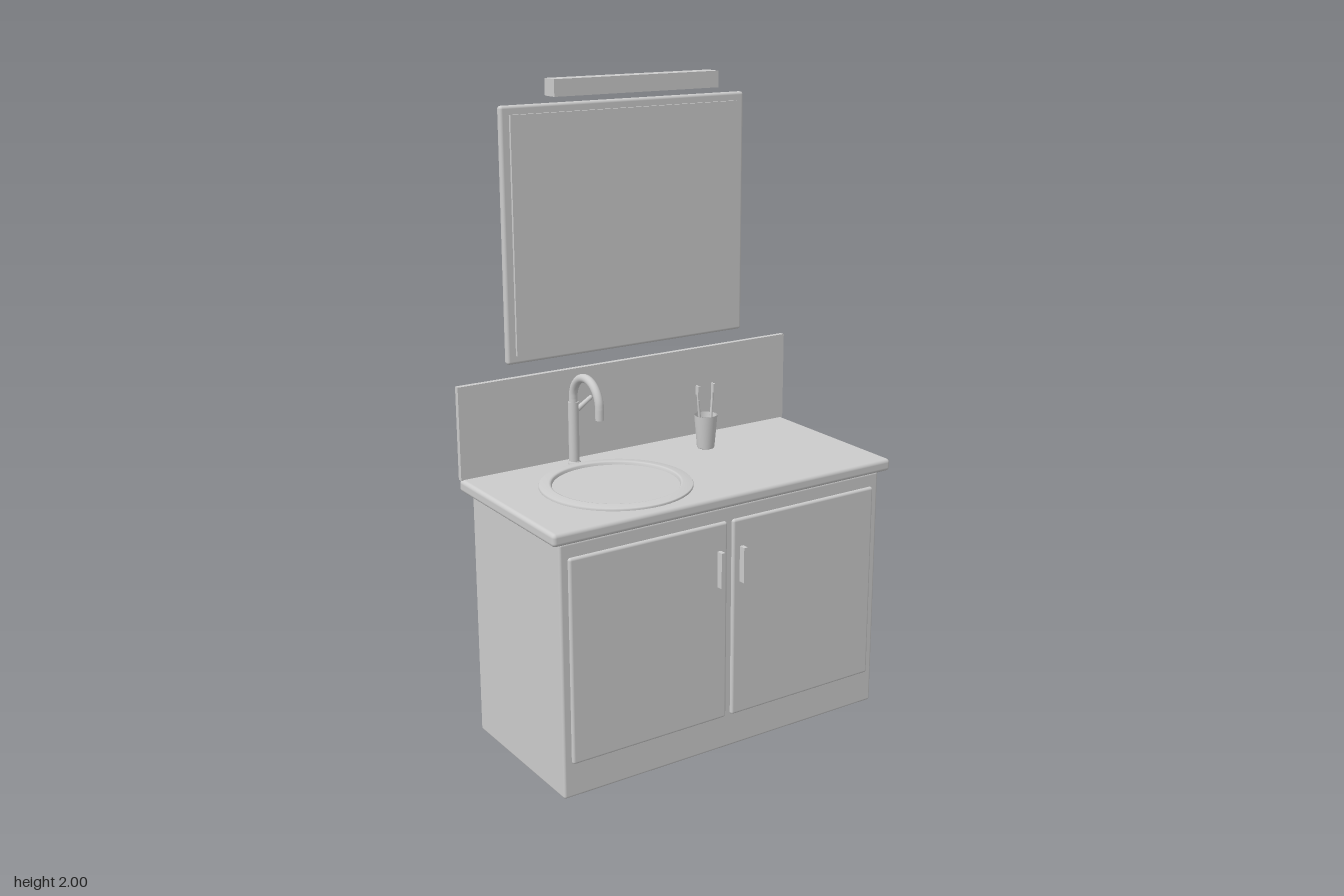
import * as THREE from 'three';
import { RoundedBoxGeometry } from 'three/addons/geometries/RoundedBoxGeometry.js';

const grey = new THREE.MeshStandardMaterial({ color: 0xcccccc });
const greyDouble = new THREE.MeshStandardMaterial({ color: 0xcccccc, side: THREE.DoubleSide });
const V = (x, y, z) => new THREE.Vector3(x, y, z);

function add(parent, name, geometry, material = grey) {
  const mesh = new THREE.Mesh(geometry, material);
  mesh.name = name;
  parent.add(mesh);
  return mesh;
}

// Box given by its extents on each axis; a radius rounds its edges
function box(parent, name, [x0, x1], [y0, y1], [z0, z1], radius = 0) {
  const size = [x1 - x0, y1 - y0, z1 - z0];
  const geometry = radius
    ? new RoundedBoxGeometry(...size, 3, radius)
    : new THREE.BoxGeometry(...size);
  geometry.translate((x0 + x1) / 2, (y0 + y1) / 2, (z0 + z1) / 2);
  return add(parent, name, geometry);
}

// Round bar between two points
function rod(parent, name, a, b, r0, r1 = r0) {
  const dir = b.clone().sub(a);
  const mesh = add(parent, name, new THREE.CylinderGeometry(r1, r0, dir.length(), 20));
  mesh.position.copy(a).add(b).multiplyScalar(0.5);
  mesh.quaternion.setFromUnitVectors(V(0, 1, 0), dir.normalize());
  return mesh;
}

function lathe(parent, name, points, segments = 48) {
  const profile = points.map(([r, y]) => new THREE.Vector2(r, y));
  return add(parent, name, new THREE.LatheGeometry(profile, segments), greyDouble);
}

function createCabinet() {
  const g = new THREE.Group();
  g.name = 'cabinet';
  box(g, 'cabinetBody', [-0.573, 0.573], [0.005, 0.79], [-0.258, 0.266], 0.008);
  // Mirrored pair of doors with upright handles
  for (const [side, s] of [['left', 1], ['right', -1]]) {
    const span = (a, b) => [Math.min(s * a, s * b), Math.max(s * a, s * b)];
    box(g, side + 'Door', span(0.01, 0.547), [0.113, 0.746], [0.245, 0.276], 0.008);
    box(g, side + 'Handle', span(0.034, 0.047), [0.548, 0.66], [0.27, 0.298]);
  }
  box(g, 'countertop', [-0.603, 0.603], [0.793, 0.832], [-0.284, 0.289], 0.012);
  box(g, 'backsplash', [-0.603, 0.603], [0.83, 1.12], [-0.284, -0.267]);
  return g;
}

function createSink() {
  const g = new THREE.Group();
  g.name = 'sink';
  lathe(g, 'sinkRim', [[0.23, 0.83], [0.23, 0.836], [0.228, 0.839], [0.2, 0.843],
    [0.195, 0.842], [0.192, 0.839], [0.19, 0.83]], 64);
  g.position.set(-0.239, 0, 0.024);
  return g;
}

function createFaucet() {
  const g = new THREE.Group();
  g.name = 'faucet';
  const z = -0.221, r = 0.078, top = 1.042;
  lathe(g, 'faucetBase', [[0.02, 0.83], [0.02, 0.838], [0.016, 0.842]], 24).position.z = z;
  rod(g, 'faucetColumn', V(0, 0.83, z), V(0, 1.03, z), 0.0165);
  // Gooseneck: straight rise, half circle, short drop to the outlet
  const path = new THREE.CurvePath();
  const arc = [];
  for (let i = 0; i <= 12; i++) {
    const t = Math.PI * (1 - i / 12);
    arc.push(V(0, top + r * Math.sin(t), z + r + r * Math.cos(t)));
  }
  path.add(new THREE.LineCurve3(V(0, 1.0, z), arc[0]));
  path.add(new THREE.CatmullRomCurve3(arc));
  path.add(new THREE.LineCurve3(arc[12], V(0, 1.01, z + 2 * r)));
  add(g, 'spout', new THREE.TubeGeometry(path, 64, 0.0135, 16));
  const outlet = add(g, 'outlet', new THREE.CircleGeometry(0.0135, 16), greyDouble);
  outlet.rotation.x = Math.PI / 2;
  outlet.position.set(0, 1.011, z + 2 * r);
  // Side lever
  rod(g, 'lever', V(0, 0.995, z), V(0.064, 1.033, z - 0.004), 0.009, 0.007);
  const tip = add(g, 'leverTip', new THREE.SphereGeometry(0.007, 12, 8));
  tip.position.set(0.064, 1.033, z - 0.004);
  g.position.x = -0.239;
  return g;
}

function createCup() {
  const g = new THREE.Group();
  g.name = 'toothbrushCup';
  // Open tumbler with thin walls
  lathe(g, 'cup', [[0, 0.832], [0.026, 0.832], [0.028, 0.835], [0.037, 0.94],
    [0.034, 0.94], [0.026, 0.842], [0, 0.84]], 32);
  for (const [name, s] of [['leftToothbrush', 1], ['rightToothbrush', -1]]) {
    const brush = new THREE.Group();
    brush.name = name;
    rod(brush, 'brushHandle', V(s * 0.01, 0.845, 0.006 * s), V(s * 0.027, 0.99, -0.004), 0.005, 0.004);
    rod(brush, 'brushNeck', V(s * 0.027, 0.985, -0.004), V(s * 0.029, 1.04, -0.006), 0.0035);
    box(brush, 'bristles', [s * 0.029 - 0.0045, s * 0.029 + 0.0045], [1.01, 1.038], [-0.008, 0.006]);
    g.add(brush);
  }
  g.position.set(0.192, 0, -0.131);
  return g;
}

export function createModel() {
  const model = new THREE.Group();
  model.name = 'bathroomVanity';
  model.add(createCabinet(), createSink(), createFaucet(), createCup());

  // Wall mirror with a slightly raised pane, and the lamp above it
  const mirror = new THREE.Group();
  mirror.name = 'wallMirror';
  box(mirror, 'mirrorFrame', [-0.431, 0.431], [1.16, 1.926], [-0.298, -0.274], 0.009);
  box(mirror, 'mirrorPane', [-0.403, 0.403], [1.186, 1.9], [-0.28, -0.265]);
  model.add(mirror);
  box(model, 'lamp', [-0.288, 0.288], [1.95, 2.0], [-0.266, -0.21]);
  return model;
}
